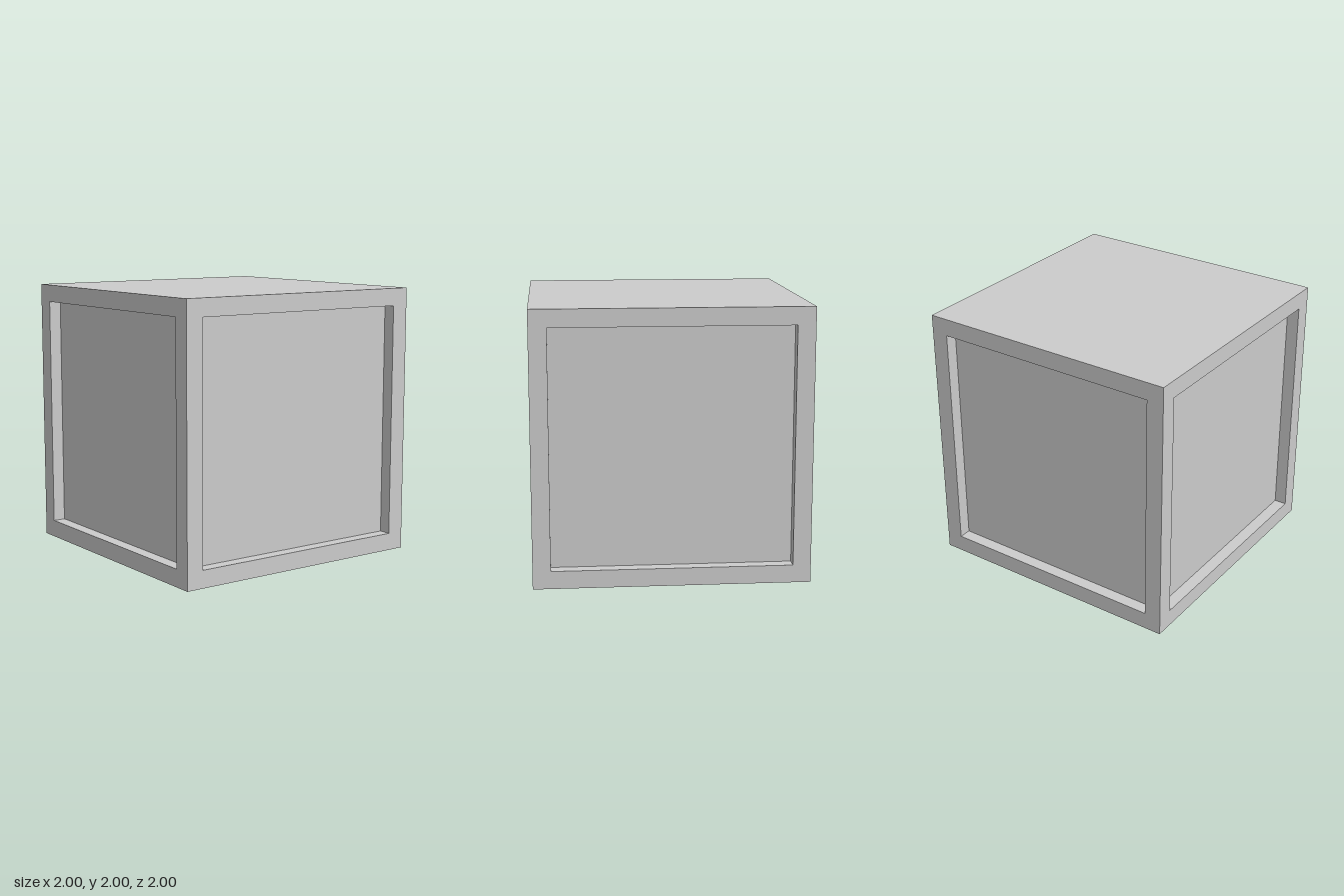
import * as THREE from 'three';
import { mergeGeometries } from 'three/addons/utils/BufferGeometryUtils.js';

const HALF = 1;       // half the cube's edge
const OPENING = 0.87; // half the width of a recessed panel
const DEPTH = 0.093;  // how far each panel is set back

function square(Type, h) {
  return new Type([[-h, -h], [h, -h], [h, h], [-h, h]].map(([x, y]) => new THREE.Vector2(x, y)));
}

export function createModel() {
  const material = new THREE.MeshStandardMaterial({ color: 0xcccccc });
  const model = new THREE.Group();
  model.name = 'panelledCube';

  function add(name, geometry, parent) {
    const mesh = new THREE.Mesh(geometry, material);
    mesh.name = name;
    parent.add(mesh);
    return mesh;
  }

  // Flat border around the recess
  const border = square(THREE.Shape, HALF);
  border.holes.push(square(THREE.Path, OPENING));
  const frameGeometry = new THREE.ShapeGeometry(border).translate(0, 0, HALF);

  // Four inward-facing walls of the recess
  const walls = [0, 1, 2, 3].map((k) =>
    new THREE.PlaneGeometry(2 * OPENING, DEPTH)
      .rotateX(-Math.PI / 2)
      .translate(0, -OPENING, HALF - DEPTH / 2)
      .rotateZ((k * Math.PI) / 2));
  const wallGeometry = mergeGeometries(walls);

  // Sunken panel
  const panelGeometry = new THREE.PlaneGeometry(2 * OPENING, 2 * OPENING).translate(0, 0, HALF - DEPTH);

  // The same side on all four faces
  ['front', 'left', 'back', 'right'].forEach((name, i) => {
    const side = new THREE.Group();
    side.name = name + 'Side';
    side.position.y = HALF;
    side.rotation.y = (i * Math.PI) / 2;
    add(name + 'Frame', frameGeometry, side);
    add(name + 'RecessWalls', wallGeometry, side);
    add(name + 'Panel', panelGeometry, side);
    model.add(side);
  });

  // Plain top and bottom
  const cap = new THREE.PlaneGeometry(2 * HALF, 2 * HALF);
  const top = add('top', cap, model);
  top.rotation.x = -Math.PI / 2;
  top.position.y = 2 * HALF;
  add('bottom', cap, model).rotation.x = Math.PI / 2;

  return model;
}
